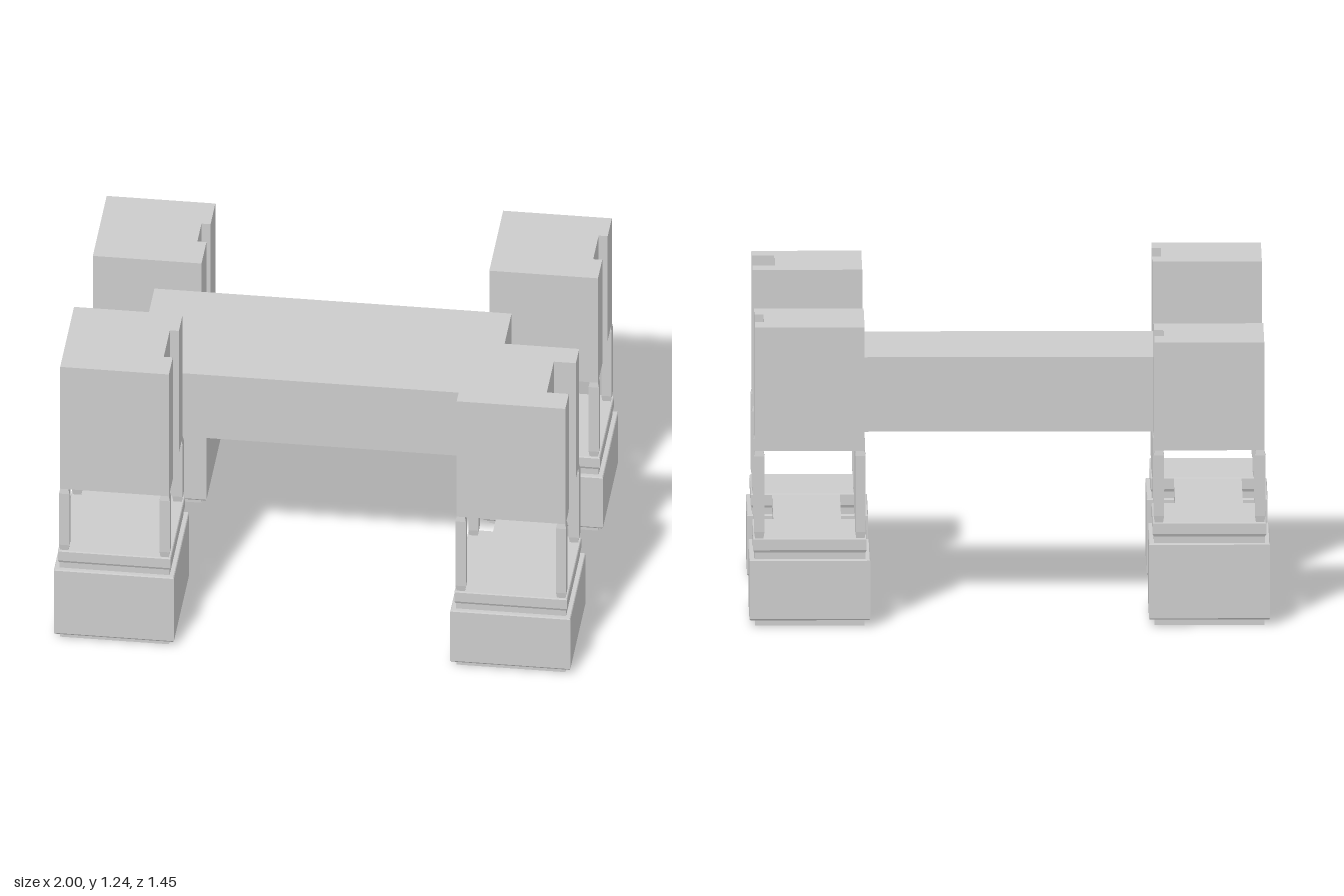
import * as THREE from 'three';

const material = new THREE.MeshStandardMaterial({ color: 0xcccccc, flatShading: true });

function add(parent, name, geometry, x = 0, y = 0, z = 0) {
  const mesh = new THREE.Mesh(geometry, material);
  mesh.name = name;
  mesh.position.set(x, y, z);
  parent.add(mesh);
  return mesh;
}

// Box given by its limits on each axis
function box(parent, name, x0, x1, y0, y1, z0, z1) {
  return add(parent, name, new THREE.BoxGeometry(x1 - x0, y1 - y0, z1 - z0),
    (x0 + x1) / 2, (y0 + y1) / 2, (z0 + z1) / 2);
}

// Stack of square sections from [half width, height] pairs
function squareTurned(profile) {
  const points = profile.map(([w, y]) => new THREE.Vector2(w * Math.SQRT2, y));
  return new THREE.LatheGeometry(points, 4, Math.PI / 4);
}

const UNDERSIDE = 0.68;

// One corner tower: base, posts and a notched upper block
function tower({ name, x, z, baseTop, top, notch }) {
  const group = new THREE.Group();
  group.name = name;
  group.position.set(x, 0, z);
  const deck = baseTop + 0.08;

  // Base with a recessed foot and a stepped collar under the deck
  add(group, 'base', squareTurned([
    [0, 0], [0.21, 0], [0.21, 0.024], [0.228, 0.024], [0.232, 0.03],
    [0.232, baseTop - 0.004], [0.229, baseTop], [0.213, baseTop],
    [0.213, baseTop + 0.025], [0.218, baseTop + 0.035], [0.218, deck - 0.004],
    [0.215, deck], [0, deck],
  ]));

  // Four posts, tapered at both ends
  const post = squareTurned([
    [0, deck - 0.02], [0.013, deck - 0.02], [0.02, deck + 0.025],
    [0.02, UNDERSIDE - 0.02], [0.014, UNDERSIDE + 0.01], [0, UNDERSIDE + 0.01],
  ]);
  for (const sx of [-1, 1]) {
    for (const sz of [-1, 1]) add(group, 'post', post, sx * 0.194, 0, sz * 0.194);
  }

  // Upper block with a full-height notch in its +x face
  const h = 0.21;
  const [depth, z0, z1] = notch;
  const outline = [
    [-h, -h], [h, -h], [h, -(z1 - z)], [h - depth, -(z1 - z)],
    [h - depth, -(z0 - z)], [h, -(z0 - z)], [h, h], [-h, h],
  ];
  const shape = new THREE.Shape(outline.map(([px, py]) => new THREE.Vector2(px, py)));
  const block = new THREE.ExtrudeGeometry(shape, { depth: top - UNDERSIDE, bevelEnabled: false });
  block.rotateX(-Math.PI / 2);
  add(group, 'upperBlock', block, 0, UNDERSIDE, 0);
  return group;
}

export function createModel() {
  const model = new THREE.Group();
  model.name = 'building';

  const towers = [
    { name: 'frontRightTower', x: -0.768, z: 0.495, baseTop: 0.32, top: 1.24, notch: [0.035, 0.4, 0.585] },
    { name: 'frontLeftTower', x: 0.764, z: 0.495, baseTop: 0.26, top: 1.21, notch: [0.085, 0.385, 0.6] },
    { name: 'backRightTower', x: -0.768, z: -0.495, baseTop: 0.32, top: 1.1, notch: [0.035, -0.56, -0.435] },
    { name: 'backLeftTower', x: 0.764, z: -0.495, baseTop: 0.26, top: 1.16, notch: [0.035, -0.58, -0.415] },
  ];
  for (const t of towers) model.add(tower(t));

  // Central hall on its wider floor slab
  box(model, 'floorSlab', -0.9, 0.9, UNDERSIDE, 0.74, -0.285, 0.285);
  box(model, 'centralHall', -0.74, 0.64, 0.74, 0.97, -0.285, 0.285);

  // Low walkways joining front and back towers
  box(model, 'rightWalkway', -0.9, -0.64, 0.345, 0.397, -0.3, 0.3);
  box(model, 'leftWalkway', 0.64, 0.9, 0.285, 0.337, -0.3, 0.3);

  return model;
}
